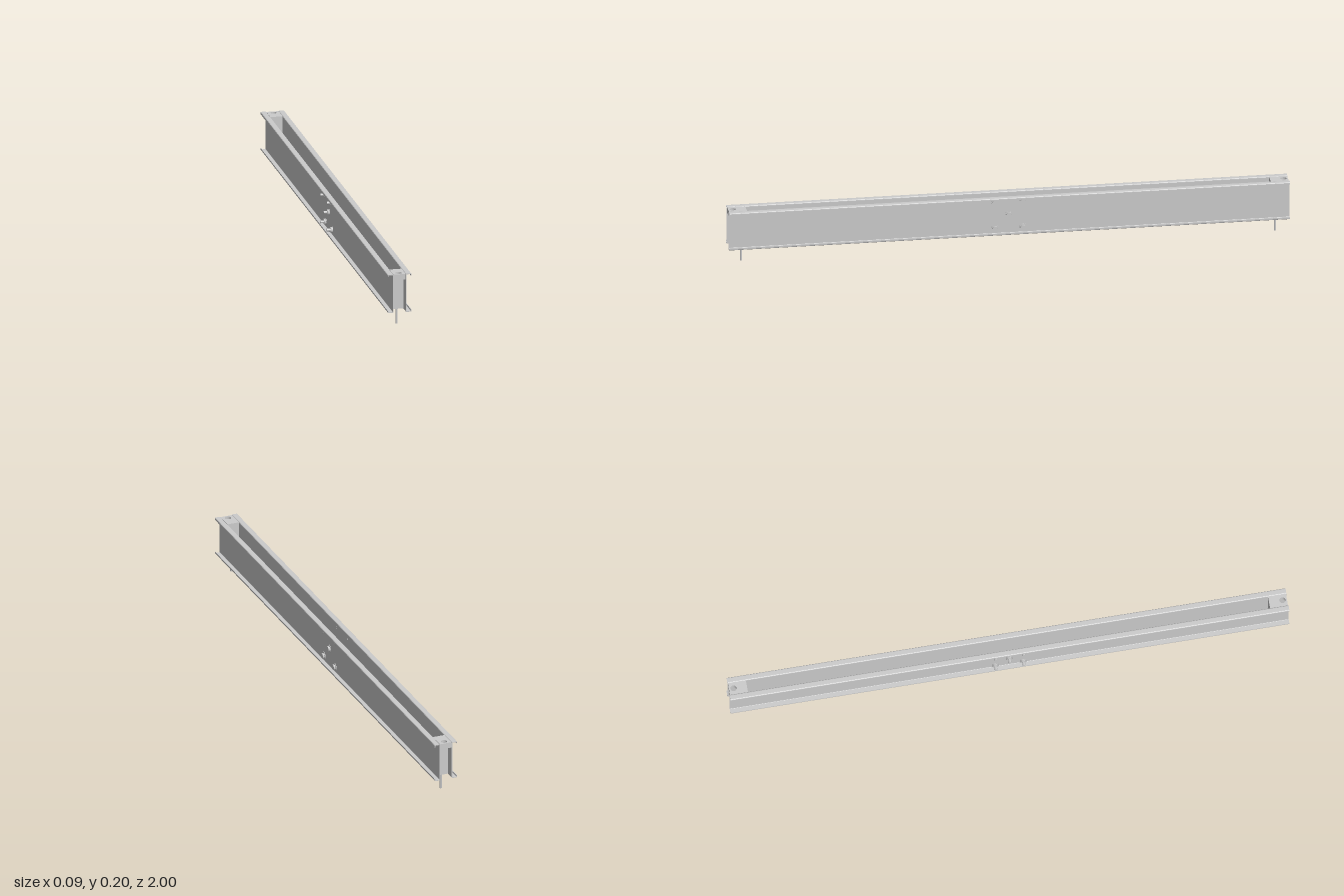
import * as THREE from 'three';

const grey = new THREE.MeshStandardMaterial({ color: 0xcccccc, side: THREE.DoubleSide });

function add(parent, name, geometry, x = 0, y = 0, z = 0) {
  const mesh = new THREE.Mesh(geometry, grey);
  mesh.name = name;
  mesh.position.set(x, y, z);
  parent.add(mesh);
  return mesh;
}

// Closed outline whose corners [x, y, radius] are rounded
function roundedShape(corners) {
  const shape = new THREE.Shape();
  const n = corners.length;
  corners.forEach(([x, y, r], i) => {
    const towards = ([px, py]) => {
      const d = Math.hypot(px - x, py - y);
      return [x + (px - x) * r / d, y + (py - y) * r / d];
    };
    const a = towards(corners[(i + n - 1) % n]);
    const b = towards(corners[(i + 1) % n]);
    if (i === 0) shape.moveTo(...a); else shape.lineTo(...a);
    if (r > 0) shape.quadraticCurveTo(x, y, ...b);
  });
  shape.closePath();
  return shape;
}

// Lipped C section, open towards +x
function channelGeometry() {
  const x0 = 0.022, x1 = 0.043, top = 0.196, bottom = 0.055, t = 0.0025, lip = 0.008;
  const R = 0.004, r = 0.0015;
  const shape = roundedShape([
    [x1, top - lip, 0], [x1, top, R], [x0, top, R], [x0, bottom, R],
    [x1, bottom, R], [x1, bottom + lip, 0], [x1 - t, bottom + lip, 0],
    [x1 - t, bottom + t, r], [x0 + t, bottom + t, r],
    [x0 + t, top - t, r], [x1 - t, top - t, r], [x1 - t, top - lip, 0],
  ]);
  return new THREE.ExtrudeGeometry(shape, { depth: 2, bevelEnabled: false, curveSegments: 4 })
    .translate(0, 0, -1);
}

// Cylinder lying along x between two positions
function rod(xa, xb, radius, sides) {
  return new THREE.CylinderGeometry(radius, radius, Math.abs(xb - xa), sides)
    .rotateZ(Math.PI / 2).translate((xa + xb) / 2, 0, 0);
}

// Spacer block, drilled top tab and locating pin for the +z end
function endBracket() {
  const g = new THREE.Group();
  g.name = 'endBracket';
  add(g, 'spacerBlock', new THREE.BoxGeometry(0.044, 0.137, 0.032), 0, 0.1265, 0.95);
  const tab = new THREE.Shape();
  tab.moveTo(-0.022, -0.998);
  tab.lineTo(0.022, -0.998);
  tab.lineTo(0.022, -0.966);
  tab.lineTo(-0.022, -0.966);
  const hole = new THREE.Path();
  hole.absarc(0, -0.982, 0.011, 0, Math.PI * 2, true);
  tab.holes.push(hole);
  const geo = new THREE.ExtrudeGeometry(tab, { depth: 0.021, bevelEnabled: false, curveSegments: 12 })
    .rotateX(-Math.PI / 2);
  add(g, 'topTab', geo, 0, 0.174, 0);
  add(g, 'pin', new THREE.CylinderGeometry(0.004, 0.004, 0.06, 12), 0, 0.03, 0.952);
  return g;
}

export function createModel() {
  const model = new THREE.Group();
  model.name = 'doubleChannelBeam';

  // Two channels back to back
  const channel = channelGeometry();
  add(model, 'leftChannel', channel);
  add(model, 'rightChannel', channel).rotation.y = Math.PI;

  // Brackets at both ends
  const front = endBracket();
  const back = endBracket();
  back.rotation.y = Math.PI;
  model.add(front, back);

  // Five bolts in the middle: four corners and a centre
  const spots = [[0.176, 0.05], [0.176, -0.05], [0.126, 0], [0.076, 0.05], [0.076, -0.05]];
  spots.forEach(([y, z]) => {
    const bolt = new THREE.Group();
    bolt.name = 'bolt';
    bolt.position.set(0, y, z);
    add(bolt, 'headWasher', rod(0.0245, 0.0262, 0.014, 20));
    add(bolt, 'head', rod(0.0262, 0.033, 0.0105, 6));
    add(bolt, 'nutWasher', rod(-0.0245, -0.0262, 0.0115, 20));
    add(bolt, 'nut', rod(-0.0262, -0.033, 0.0105, 6));
    add(bolt, 'threadedEnd', rod(-0.021, -0.045, 0.005, 14));
    model.add(bolt);
  });

  return model;
}
